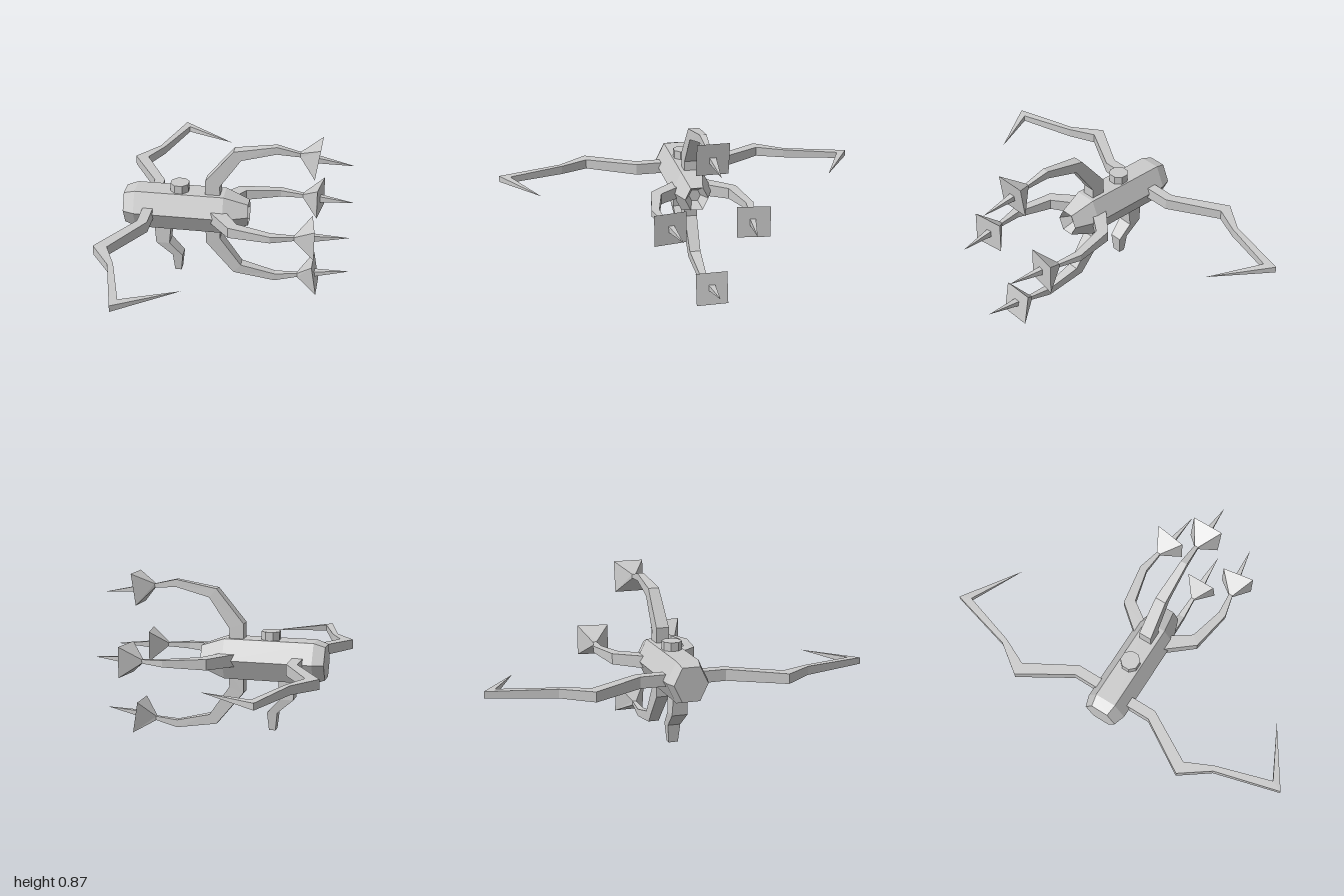
import * as THREE from 'three';

const AXIS = 0.4375; // height of the body axis
const material = new THREE.MeshStandardMaterial({ color: 0xcccccc, flatShading: true });

// Skin a list of cross-sections (equal point counts) and close both ends.
function loft(name, rings) {
  const n = rings[0].length;
  const tris = [];
  for (let i = 0; i < rings.length - 1; i++) {
    for (let j = 0; j < n; j++) {
      const k = (j + 1) % n;
      const [a, b, c, d] = [rings[i][j], rings[i][k], rings[i + 1][k], rings[i + 1][j]];
      tris.push([a, b, c], [a, c, d]);
    }
  }
  const first = rings[0], last = rings[rings.length - 1];
  for (let j = 1; j < n - 1; j++) {
    tris.push([first[0], first[j + 1], first[j]], [last[0], last[j], last[j + 1]]);
  }
  // Face outwards: flip the corner order if the enclosed volume is negative
  const vec = (p) => new THREE.Vector3(...p);
  const volume = tris.reduce((s, [a, b, c]) => s + vec(a).dot(vec(b).cross(vec(c))), 0);
  const flat = tris.flatMap(([a, b, c]) => (volume < 0 ? [a, c, b] : [a, b, c])).flat();
  const geometry = new THREE.BufferGeometry();
  geometry.setAttribute('position', new THREE.Float32BufferAttribute(flat, 3));
  geometry.computeVertexNormals();
  const mesh = new THREE.Mesh(geometry, material);
  mesh.name = name;
  return mesh;
}

// Rectangular limb in the xy plane: each section is [outerX, outerY, innerX, innerY, halfWidth]
function limb(name, sections) {
  return loft(name, sections.map(([ax, ay, bx, by, w]) =>
    [[ax, ay, w], [ax, ay, -w], [bx, by, -w], [bx, by, w]]));
}

// Hexagonal body with chamfered ends and a recessed front
function body() {
  const hexagon = [[0, 0.11], [0.1075, 0.057], [0.1075, -0.057], [0, -0.11], [-0.1075, -0.057], [-0.1075, 0.057]];
  const profile = [[-0.585, 0.82], [-0.525, 1], [-0.045, 1], [0.085, 0.57], [0.03, 0.28]];
  return loft('body', profile.map(([x, s]) => hexagon.map(([y, z]) => [x, y * s, z * s])));
}

// Curved arm with a pyramid head and a spike; y is the distance from the body axis
function clawArm(name, angle, inset) {
  const group = new THREE.Group();
  group.name = name;
  const arm = limb('armSegments', [
    [-0.145, 0.08, -0.065, 0.08, 0.036],
    [-0.145, 0.187, -0.068, 0.158, 0.034],
    [0.005, 0.368, 0.045, 0.32, 0.029],
    [0.23, 0.407, 0.23, 0.366, 0.018],
    [0.36, 0.376, 0.355, 0.356, 0.01],
  ]);
  const head = limb('armHead', [
    [0.352, 0.378, 0.352, 0.356, 0.01],
    [0.462, 0.436, 0.436, 0.267, 0.083],
  ]);
  const spike = limb('armSpike', [
    [0.445, 0.362, 0.445, 0.332, 0.017],
    [0.635, 0.322, 0.635, 0.322, 0],
  ]);
  group.add(arm, head, spike);
  group.children.forEach((part) => { part.position.y = -inset; });
  group.rotation.x = angle;
  return group;
}

// Long bent arm ending in a folded-back point
function rearArm(name, angle) {
  const arm = limb(name, [
    [-0.475, 0.07, -0.42, 0.07, 0.031],
    [-0.475, 0.227, -0.42, 0.235, 0.03],
    [-0.642, 0.5, -0.57, 0.5, 0.026],
    [-0.53, 0.655, -0.502, 0.645, 0.023],
    [-0.437, 1.0, -0.41, 0.94, 0.017],
    [-0.13, 0.8, -0.13, 0.8, 0],
  ]);
  arm.rotation.x = angle;
  return arm;
}

export function createModel() {
  const model = new THREE.Group();
  model.name = 'clawedDrone';
  const hull = new THREE.Group();
  hull.name = 'hull';
  hull.position.y = AXIS;
  model.add(hull);

  hull.add(body());

  // Four claw arms around the front; the side pair sits closer to the axis
  const quarter = Math.PI / 2;
  hull.add(
    clawArm('topClawArm', 0, 0),
    clawArm('bottomClawArm', 2 * quarter, 0),
    clawArm('frontClawArm', quarter, 0.137),
    clawArm('backClawArm', -quarter, 0.137),
  );

  // Long arms on both sides of the rear
  hull.add(rearArm('frontRearArm', quarter), rearArm('backRearArm', -quarter));

  // Bent handle below the body
  const handle = limb('handle', [
    [-0.427, 0.36, -0.333, 0.36, 0.036],
    [-0.418, 0.23, -0.345, 0.23, 0.042],
    [-0.33, 0.152, -0.275, 0.152, 0.034],
    [-0.32, 0.055, -0.285, 0.055, 0.025],
  ]);
  model.add(handle);

  // Octagonal knob on top
  const knob = new THREE.Mesh(new THREE.CylinderGeometry(0.052, 0.052, 0.07, 8), material);
  knob.name = 'topKnob';
  knob.position.set(-0.287, 0.555, 0);
  knob.rotation.y = Math.PI / 8;
  model.add(knob);

  return model;
}
